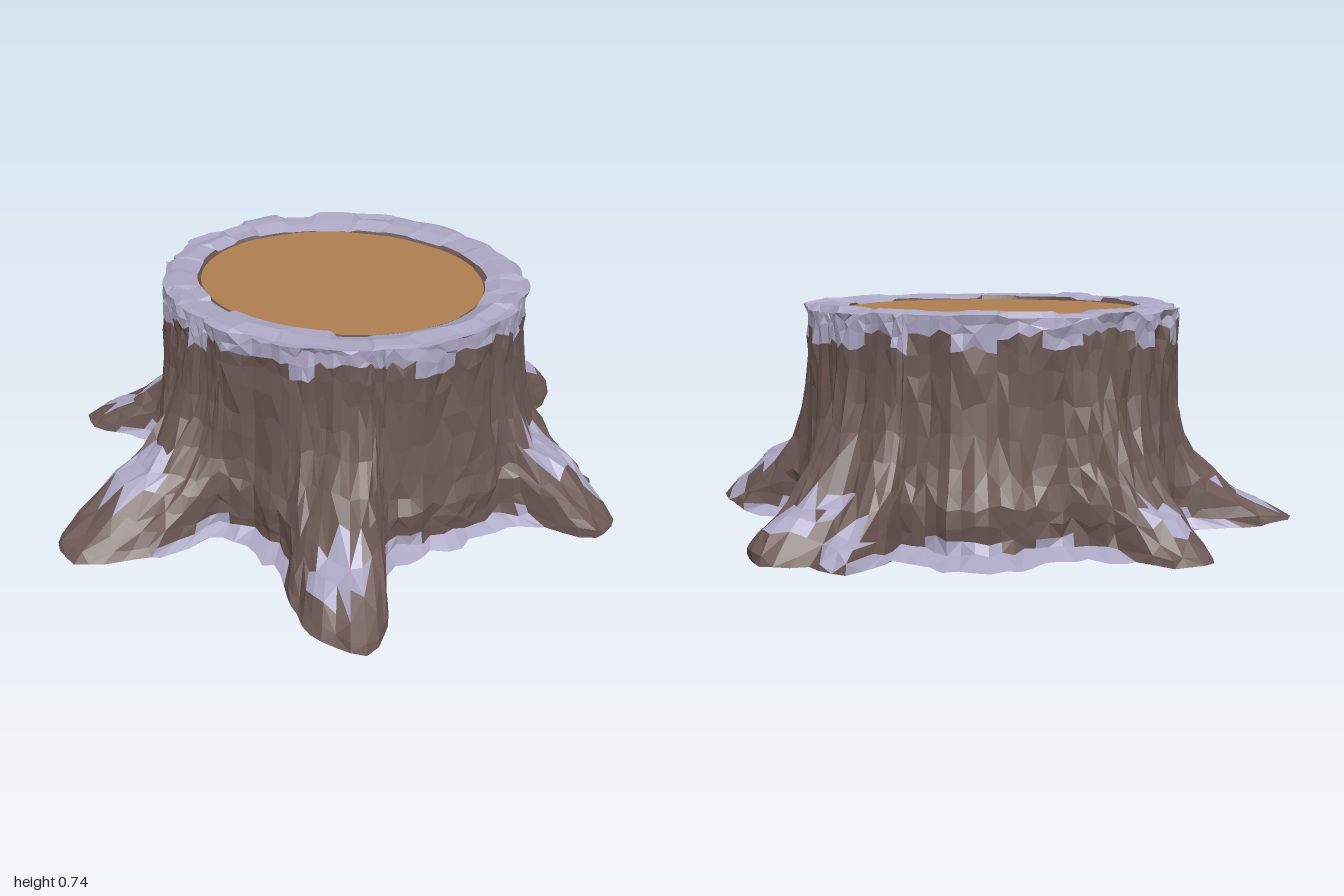
import * as THREE from 'three';

const N = 150;            // columns around the stump
const CZ = -0.085;        // trunk axis in z

// Ground outline of the flared roots (x, z), going right, front, left, back
const OUTLINE = [
  [0.99, 0.07], [0.95, 0.15], [0.78, 0.15], [0.67, 0.19], [0.52, 0.35], [0.41, 0.48], [0.36, 0.58],
  [0.41, 0.7], [0.44, 0.86], [0.4, 0.93], [0.25, 0.91], [0.14, 0.8], [0.04, 0.67], [-0.1, 0.57],
  [-0.23, 0.56], [-0.31, 0.66], [-0.45, 0.76], [-0.59, 0.82], [-0.7, 0.73], [-0.69, 0.62],
  [-0.61, 0.43], [-0.6, 0.24], [-0.66, 0.09], [-0.92, 0.05], [-0.99, 0], [-0.97, -0.09],
  [-0.85, -0.2], [-0.71, -0.25], [-0.65, -0.34], [-0.71, -0.51], [-0.73, -0.65], [-0.64, -0.72],
  [-0.43, -0.68], [-0.28, -0.71], [-0.18, -0.83], [-0.1, -0.87], [0.1, -0.81], [0.18, -0.76],
  [0.22, -0.86], [0.3, -0.94], [0.38, -0.89], [0.54, -0.88], [0.63, -0.75], [0.6, -0.53],
  [0.58, -0.41], [0.68, -0.33], [0.76, -0.27], [0.89, -0.16],
];

// Flattened snow patches lying on the roots (x, z, radius, height)
const PATCHES = [
  [0.74, -0.03, 0.11, 0.22], [0.89, -0.04, 0.05, 0.12], [0.27, 0.75, 0.09, 0.135], [-0.5, 0.54, 0.1, 0.215],
  [-0.87, -0.06, 0.06, 0.09], [-0.74, -0.1, 0.05, 0.17], [-0.6, -0.6, 0.065, 0.15],
  [0.49, -0.76, 0.08, 0.15], [0.37, -0.71, 0.05, 0.16], [0.29, -0.87, 0.08, 0.08],
];

// Repeatable noise in -1..1
function noise(a, b = 0) {
  const s = Math.sin(a * 127.1 + b * 311.7) * 43758.5453;
  return (s - Math.floor(s)) * 2 - 1;
}

// Columns: ground point, direction angle, root length and whether snow lies at its foot
function makeColumns() {
  const curve = new THREE.CatmullRomCurve3(
    OUTLINE.map(([x, z]) => new THREE.Vector3(x, 0, z)), true, 'centripetal');
  const points = curve.getSpacedPoints(N).slice(0, N);
  const first = Math.atan2(points[0].z - CZ, points[0].x);
  return points.map((p, i) => {
    let angle = Math.atan2(p.z - CZ, p.x);
    const even = first + (i / N) * Math.PI * 2;
    angle += Math.round((even - angle) / (Math.PI * 2)) * Math.PI * 2;
    angle = angle * 0.75 + even * 0.25;
    const reach = Math.hypot(p.x, p.z - CZ) - 0.6;
    const skirt = reach < 0.25 + 0.05 * noise(Math.floor(i / 4), 9);
    const edge = 1 + (skirt ? 0.03 : 0.012) * noise(i, 3);
    // the left root lies lower than the others
    const thickness = p.x < -0.6 && Math.abs(p.z) < 0.3 ? 0.145 : 0.2;
    return { x: p.x * edge, z: CZ + (p.z - CZ) * edge, angle, reach, skirt, thickness, i };
  });
}

// Presses root tops level under the snow patches
function flatten(p) {
  for (const [x, z, r, y] of PATCHES) {
    const near = 1 - Math.hypot(p.x - x, p.z - z) / (r * 1.35);
    if (near > 0 && p.y > 0.06 && p.y < 0.33) p.y = THREE.MathUtils.lerp(p.y, y, Math.min(0.6, near * 1.3));
  }
  return p;
}

// One flat-shaded mesh from a list of triangle corners
function facetedMesh(name, material, triangles) {
  const geometry = new THREE.BufferGeometry().setFromPoints(triangles);
  geometry.computeVertexNormals();
  const mesh = new THREE.Mesh(geometry, material);
  mesh.name = name;
  return mesh;
}

export function createModel() {
  const bark = new THREE.MeshStandardMaterial({ name: 'bark brown', color: 0x6b5753, flatShading: true });
  const snow = new THREE.MeshStandardMaterial({ name: 'snow lavender', color: 0xaca7c3, flatShading: true });
  const wood = new THREE.MeshStandardMaterial({ name: 'cut wood tan', color: 0xaf7f51, flatShading: true });

  const columns = makeColumns();
  const barkTris = [], snowTris = [], woodTris = [], underTris = [], underSnowTris = [];

  // Trunk rings: bark flutes above, flowing out into rounded roots below
  const heights = [0.02, 0.045, 0.08, 0.12, 0.165, 0.22, 0.285, 0.37, 0.46, 0.55, 0.62, 0.668, 0.7];
  const skirtInset = [0, 0.055, 0.045, 0.02];
  const rings = heights.map((h, j) => columns.map((c) => {
    const valley = THREE.MathUtils.clamp(1 - c.reach / 0.25, 0, 1);
    const rise = h - 0.02;
    const slope = Math.exp(-rise / 0.165);
    const shoulder = Math.exp(-Math.pow(rise / c.thickness, 1.4));
    let flare = THREE.MathUtils.lerp(shoulder, slope, valley);
    if (c.skirt && j > 0 && j < 4) flare = Math.max(0.45, flare - skirtInset[j] / Math.max(c.reach, 0.06));
    const flute = 1 + 0.035 * (Math.abs(Math.sin(c.angle * 9)) - 0.65)
      + 0.01 * noise(Math.floor((c.i + j) / 3), 7) + 0.012 * noise(c.i, j);
    const k = j === 0 ? 1 : flute;
    const tx = Math.cos(c.angle) * 0.61, tz = Math.sin(c.angle) * 0.55;
    const lift = j === 0 ? 0.004 : j < 3 ? 0.008 : 0.016;
    return flatten(new THREE.Vector3(
      (tx + (c.x - tx) * flare) * k,
      h + lift * noise(c.i, j + 20),
      CZ + (tz + (c.z - CZ - tz) * flare) * k));
  }));

  // Snowy rim: over the top edge and down to the cut face
  const rim = [[0.612, 0.552, 0.718], [0.59, 0.53, 0.728], [0.54, 0.475, 0.728], [0.49, 0.42, 0.72], [0.482, 0.41, 0.712]];
  rim.forEach(([rx, rz, y], r) => rings.push(columns.map((c) => {
    const lump = Math.floor(((c.angle + 10) / (Math.PI * 2)) * 26);
    const last = r === rim.length - 1;
    const k = last ? 1 + 0.006 * noise(lump, r) : 1 + 0.02 * noise(lump, r)
      + 0.025 * (r < 2 ? Math.abs(Math.sin(c.angle * 9)) - 0.65 : 0);
    return new THREE.Vector3(
      Math.cos(c.angle) * rx * k,
      last ? y : Math.min(0.738, y + 0.01 * noise(lump, r + 5)),
      CZ + 0.003 * r + Math.sin(c.angle) * rz * k);
  })));

  // Picks snow or bark for one facet
  const rimStart = heights.length - 2;
  const isSnow = (i, j, a, b, c) => {
    if (j === rings.length - 2) return false;
    if (j >= rimStart) return true;
    if (j === rimStart - 1) return noise(Math.floor(i / 4), 11) > 0.1;
    if (j <= 1 && columns[i].skirt && (j === 0 || noise(Math.floor(i / 3), 13) > 0.3)) return true;
    const mid = new THREE.Vector3().add(a).add(b).add(c).divideScalar(3);
    const normal = new THREE.Triangle(a, b, c).getNormal(new THREE.Vector3());
    return mid.y < 0.29 && normal.y > 0.35
      && PATCHES.some(([x, z, r]) => Math.hypot(mid.x - x, mid.z - z) < r);
  };

  for (let j = 0; j < rings.length - 1; j++) {
    for (let i = 0; i < N; i++) {
      const n = (i + 1) % N;
      const a = rings[j][i], b = rings[j][n], c = rings[j + 1][n], d = rings[j + 1][i];
      const split = (i + j) % 2 ? [[a, d, c], [a, c, b]] : [[a, d, b], [d, c, b]];
      split.forEach((t) => (isSnow(i, j, ...t) ? snowTris : barkTris).push(...t));
    }
  }

  // Cut face and underside, with a snow band under the skirt
  const top = rings[rings.length - 1];
  const topCentre = new THREE.Vector3(0, 0.712, CZ);
  const underCentre = new THREE.Vector3(-0.08, 0, 0.1);
  const inner = rings[0].map((p) => new THREE.Vector3(p.x * 0.87, 0.016, CZ + (p.z - CZ) * 0.87));
  for (let i = 0; i < N; i++) {
    const n = (i + 1) % N;
    woodTris.push(topCentre, top[n], top[i]);
    underTris.push(underCentre, inner[i], inner[n]);
    (columns[i].skirt ? underSnowTris : underTris).push(
      inner[i], rings[0][i], rings[0][n], inner[i], rings[0][n], inner[n]);
  }

  const model = new THREE.Group();
  model.name = 'treeStump';
  model.add(
    facetedMesh('barkAndRoots', bark, barkTris),
    facetedMesh('snowCover', snow, snowTris),
    facetedMesh('cutFace', wood, woodTris),
    facetedMesh('underside', bark, underTris),
    facetedMesh('undersideSnow', snow, underSnowTris));
  return model;
}
